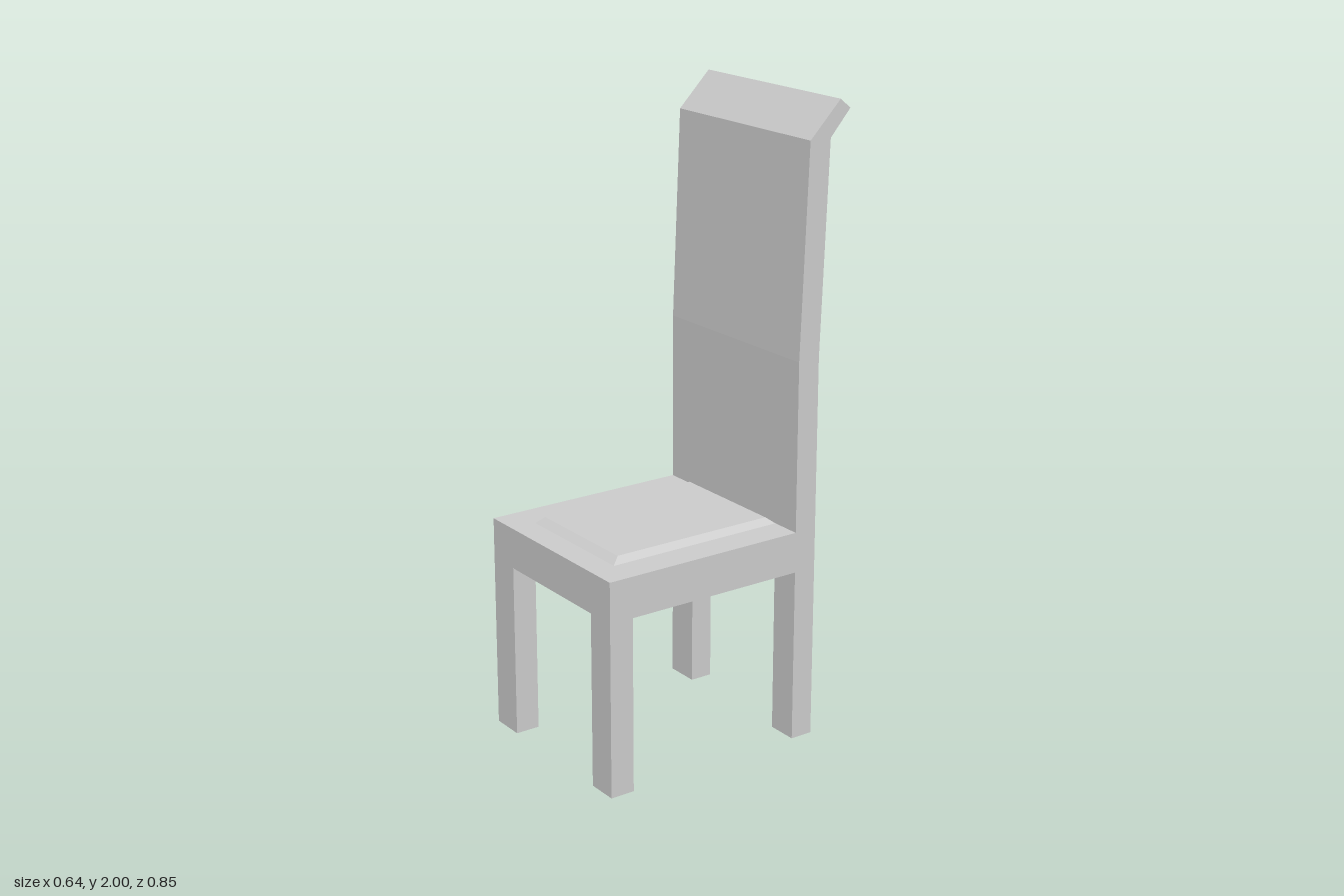
import * as THREE from 'three';

const material = new THREE.MeshStandardMaterial({ color: 0xcccccc, flatShading: true });

function addPart(parent, name, geometry) {
  const mesh = new THREE.Mesh(geometry, material);
  mesh.name = name;
  parent.add(mesh);
  return mesh;
}

// Box given by its lower and upper bounds on each axis
function boxBetween([x0, x1], [y0, y1], [z0, z1]) {
  return new THREE.BoxGeometry(x1 - x0, y1 - y0, z1 - z0)
    .translate((x0 + x1) / 2, (y0 + y1) / 2, (z0 + z1) / 2);
}

export function createModel() {
  const chair = new THREE.Group();
  chair.name = 'chair';

  const halfWidth = 0.32;
  const seatBottom = 0.56, seatTop = 0.69;
  const backFront = -0.255, backRear = -0.33, seatFront = 0.427;

  // Seat slab
  addPart(chair, 'seat',
    boxBetween([-halfWidth, halfWidth], [seatBottom, seatTop], [backFront, seatFront]));

  // Tall backrest: side profile (z, y), leaning back and flared at the top
  const profile = new THREE.Shape([
    [backRear, seatBottom], [backFront, seatBottom], [backFront, 1.23],
    [-0.281, 1.89], [-0.39, 2.0], [-0.427, 1.97], [-0.356, 1.89], [backRear, 1.23],
  ].map(([z, y]) => new THREE.Vector2(z, y)));
  const back = new THREE.ExtrudeGeometry(profile, { depth: 2 * halfWidth, bevelEnabled: false });
  back.rotateY(-Math.PI / 2).translate(halfWidth, 0, 0);
  addPart(chair, 'backrest', back);

  // Four square-cut legs
  const sides = { right: [-halfWidth, -0.21], left: [0.22, halfWidth] };
  const rows = { front: [0.347, seatFront], back: [backRear, backFront] };
  for (const [row, zs] of Object.entries(rows)) {
    for (const [side, xs] of Object.entries(sides)) {
      addPart(chair, `${row}Leg ${side}`, boxBetween(xs, [0, seatBottom], zs));
    }
  }

  // Raised cushion: box whose top face is drawn in to form sloping edges
  const cushion = new THREE.BoxGeometry(0.43, 0.02, 0.6);
  const pos = cushion.attributes.position;
  for (let i = 0; i < pos.count; i++) {
    if (pos.getY(i) > 0) {
      pos.setX(i, pos.getX(i) - Math.sign(pos.getX(i)) * 0.0175);
      pos.setZ(i, pos.getZ(i) - Math.sign(pos.getZ(i)) * 0.026);
    }
  }
  cushion.computeVertexNormals();
  addPart(chair, 'cushion', cushion).position.set(0.005, seatTop + 0.01, 0.045);

  return chair;
}
